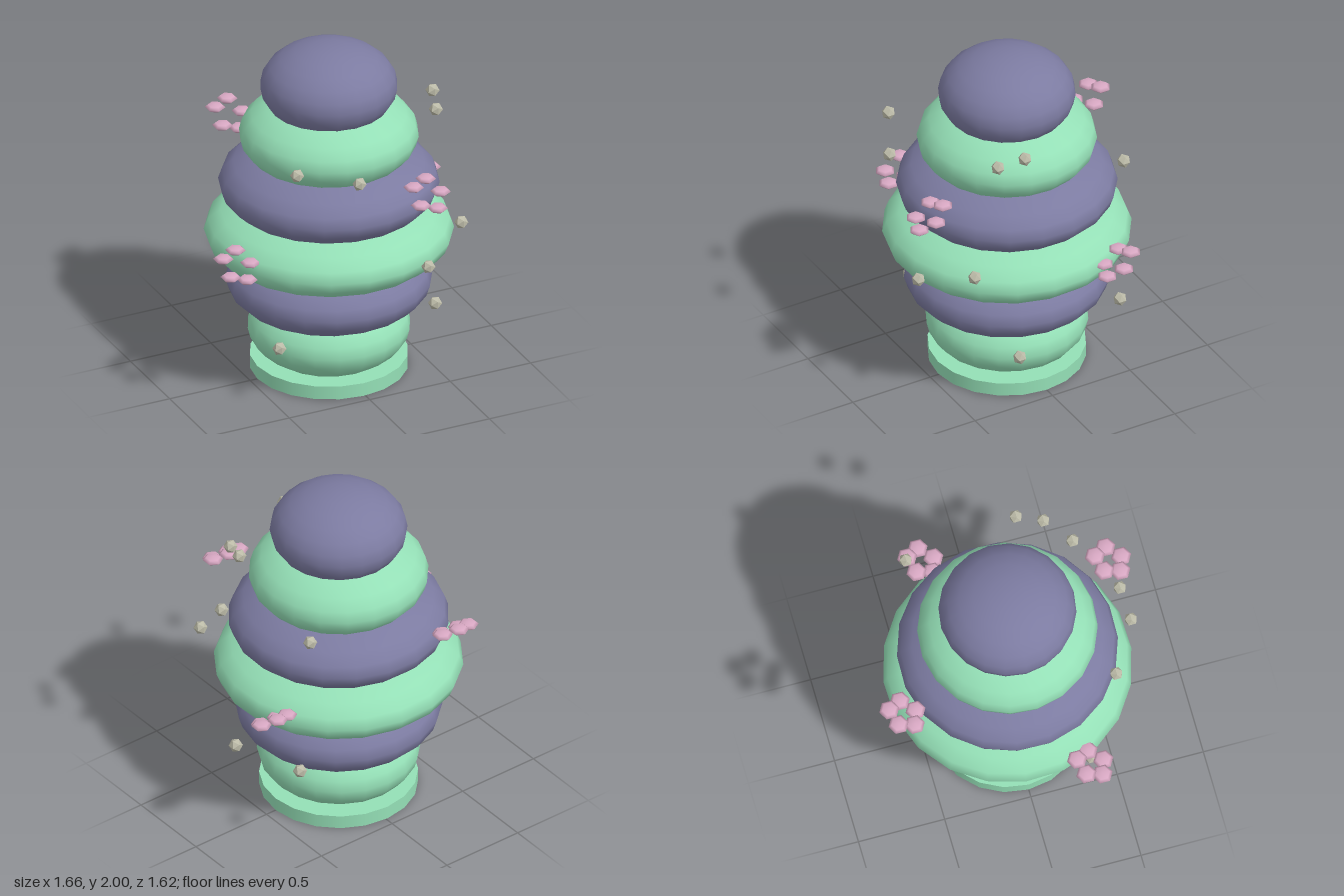
import * as THREE from 'three';

export function createModel() {
  const model = new THREE.Group();
  const mat = (name, color, flatShading = false) => {
    const m = new THREE.MeshStandardMaterial({ color, flatShading });
    m.name = name;
    return m;
  };
  const green = mat('mint green', 0x94dfb6);
  const purple = mat('dusty purple', 0x7c7ba1);
  const pink = mat('petal pink', 0xd8a8c3);
  const stone = mat('stone grey', 0xbcbba8, true);

  const add = (parent, name, geometry, material, x, y, z) => {
    const mesh = new THREE.Mesh(geometry, material);
    mesh.name = name;
    mesh.position.set(x, y, z);
    parent.add(mesh);
    return mesh;
  };

  // Base disc
  add(model, 'base', new THREE.CylinderGeometry(0.445, 0.445, 0.08, 20), green, -0.01, 0.04, 0);

  // Stacked squashed balls, alternating colours
  const ball = new THREE.SphereGeometry(1, 20, 12);
  [0.458, 0.58, 0.7, 0.62, 0.505, 0.386].forEach((r, i) => {
    const layer = add(model, 'bodyLayer' + (i + 1), ball, i % 2 ? purple : green, -0.01, 0.252 + 0.301 * i, 0);
    layer.scale.set(r, 0.243, r);
    layer.rotation.y = -0.06 * i;
  });

  // Flowers: five flat petals on a tilted ring
  const petal = new THREE.SphereGeometry(1, 6, 4);
  petal.rotateY(Math.PI / 6);
  petal.scale(0.058, 0.021, 0.058);
  const flowers = [
    [0.278, 1.315, 0.67], [-0.72, 0.913, 0.29], [0.692, 0.913, -0.304], [-0.297, 1.315, -0.682],
  ];
  for (const [x, y, z] of flowers) {
    const flower = new THREE.Group();
    flower.name = 'flower';
    flower.position.set(x, y, z);
    for (let k = 0; k < 5; k++) {
      const a = (k / 5) * Math.PI * 2;
      const s = 0.08 * Math.sin(a);
      add(flower, 'petal', petal, pink, 0.08 * Math.cos(a), 0.75 * s, -s);
    }
    model.add(flower);
  }

  // Small faceted pebbles around the body
  const pebble = new THREE.IcosahedronGeometry(0.04, 0);
  const pebbles = [
    [-0.455, 1.523, 0.507], [-0.15, 1.48, 0.677], [0.487, 1.65, 0.345], [0.537, 1.69, 0.2],
    [0.533, 1.457, -0.44], [0.553, 1.01, 0.533], [0.255, 0.888, 0.725], [-0.49, 0.366, 0.353],
    [0.537, 0.36, 0.233], [0.57, 0.56, -0.395],
  ];
  for (const p of pebbles) add(model, 'pebble', pebble, stone, ...p);

  return model;
}
